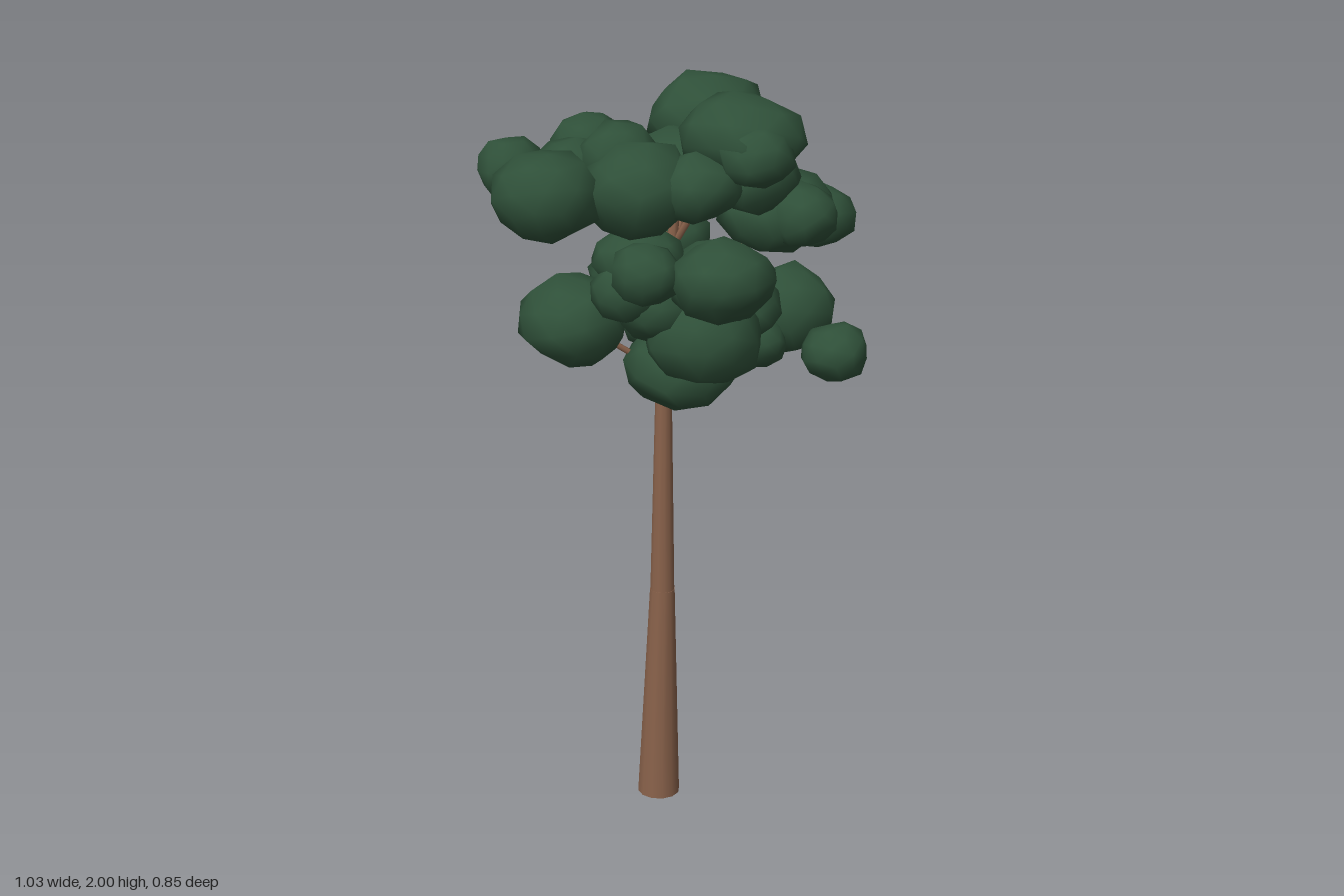
import * as THREE from 'three';
import { mergeVertices } from 'three/addons/utils/BufferGeometryUtils.js';

const bark = new THREE.MeshStandardMaterial({ color: 0x88614a });
bark.name = 'bark brown';
const leaf = new THREE.MeshStandardMaterial({ color: 0x2f5039 });
leaf.name = 'leaf green';

// Small seeded generator for the foliage irregularity
let seed = 7;
const rand = () => (seed = (seed * 16807) % 2147483647) / 2147483647;

// Tapered limb between two points
function limb(name, a, b, r0, r1, sides) {
  const from = new THREE.Vector3(...a), to = new THREE.Vector3(...b);
  const dir = to.clone().sub(from);
  const mesh = new THREE.Mesh(new THREE.CylinderGeometry(r1, r0, dir.length(), sides), bark);
  mesh.position.copy(from).add(to).multiplyScalar(0.5);
  mesh.quaternion.setFromUnitVectors(new THREE.Vector3(0, 1, 0), dir.normalize());
  mesh.name = name;
  return mesh;
}

// Coarse, lumpy, flattened ball with smooth normals
function leafClump(x, y, z, r, h) {
  let geo = new THREE.IcosahedronGeometry(1, 1);
  geo.deleteAttribute('normal');
  geo.deleteAttribute('uv');
  geo = mergeVertices(geo, 1e-3);
  const p = geo.attributes.position, v = new THREE.Vector3();
  const turn = new THREE.Euler(rand() * 6, rand() * 6, rand() * 6);
  for (let i = 0; i < p.count; i++) {
    v.fromBufferAttribute(p, i).applyEuler(turn).multiplyScalar(0.91 + rand() * 0.21);
    p.setXYZ(i, v.x * r, v.y * h, v.z * r);
  }
  geo.computeVertexNormals();
  const mesh = new THREE.Mesh(geo, leaf);
  mesh.position.set(x, y, z);
  mesh.name = 'leafClump';
  return mesh;
}

// Foliage tiers: x, y, z, radius, half height
const topTier = [
  [0.125, 1.885, 0.055, 0.153, 0.11],
  [0.095, 1.86, -0.225, 0.158, 0.122],
  [0.12, 1.81, -0.08, 0.14, 0.115],
  [0.14, 1.86, 0.15, 0.095, 0.08],
  [0.00, 1.78, 0.12, 0.11, 0.09],
  [0.16, 1.78, 0.06, 0.11, 0.095],
  [0.00, 1.765, -0.07, 0.15, 0.11],
  [-0.14, 1.765, 0.06, 0.143, 0.12],
  [-0.18, 1.82, -0.03, 0.1, 0.095],
  [-0.37, 1.755, 0.05, 0.135, 0.115],
  [-0.438, 1.78, -0.135, 0.087, 0.08],
  [-0.28, 1.78, -0.08, 0.105, 0.09],
  [-0.21, 1.77, -0.28, 0.105, 0.1],
  [-0.13, 1.76, -0.2, 0.12, 0.095],
];
const middleTier = [
  [0.025, 1.59, 0.285, 0.128, 0.1],
  [-0.15, 1.60, 0.23, 0.09, 0.078],
  [0.05, 1.53, 0.13, 0.125, 0.1],
  [-0.14, 1.575, 0.05, 0.118, 0.095],
  [-0.18, 1.51, 0.09, 0.09, 0.075],
  [0.265, 1.615, -0.185, 0.16, 0.11],
  [0.32, 1.62, -0.09, 0.095, 0.085],
  [0.41, 1.55, -0.31, 0.114, 0.09],
  [0.00, 1.55, -0.2, 0.1, 0.085],
];
const bottomTier = [
  [-0.02, 1.27, 0.01, 0.15, 0.108],
  [0.03, 1.375, 0.085, 0.148, 0.125],
  [-0.295, 1.40, -0.02, 0.143, 0.118],
  [0.295, 1.36, -0.125, 0.128, 0.112],
  [0.385, 1.285, 0.035, 0.092, 0.077],
  [0.19, 1.31, -0.02, 0.075, 0.068],
  [0.13, 1.40, -0.04, 0.12, 0.1],
  [-0.10, 1.45, 0.05, 0.11, 0.09],
  [-0.12, 1.46, -0.19, 0.105, 0.085],
  [-0.06, 1.41, -0.31, 0.078, 0.063],
  [-0.06, 1.37, -0.11, 0.11, 0.095],
];

export function createModel() {
  const tree = new THREE.Group();
  tree.name = 'tree';
  seed = 7;

  // Trunk in three leaning, tapering lengths
  const base = [-0.088, 0.003, 0.012], mid = [-0.072, 0.62, -0.003];
  const fork = [-0.062, 1.24, -0.022], tip = [-0.02, 1.74, -0.06];
  tree.add(
    limb('lowerTrunk', base, mid, 0.058, 0.034, 12),
    limb('middleTrunk', mid, fork, 0.033, 0.021, 12),
    limb('upperTrunk', fork, tip, 0.02, 0.012, 8),
  );

  // Branches reach from the trunk into the outer clumps
  const start = [-0.05, 1.38, -0.03], high = [-0.03, 1.58, -0.048];
  const branches = [
    [fork, [0.30, 1.375, -0.11]], [fork, [-0.29, 1.40, 0.0]], [fork, [-0.08, 1.43, -0.28]],
    [start, [0.28, 1.61, -0.19]], [start, [0.025, 1.58, 0.28]], [start, [-0.16, 1.54, 0.12]],
    [high, [-0.36, 1.75, 0.03]], [high, [0.1, 1.84, -0.22]], [high, [-0.2, 1.76, -0.27]],
    [high, [0.12, 1.87, 0.04]],
  ];
  for (const [a, b] of branches) tree.add(limb('branch', a, b, 0.01, 0.006, 6));

  // Foliage
  for (const [name, clumps] of Object.entries({ topTier, middleTier, bottomTier })) {
    const tier = new THREE.Group();
    tier.name = name;
    for (const c of clumps) tier.add(leafClump(...c));
    tree.add(tier);
  }
  return tree;
}
